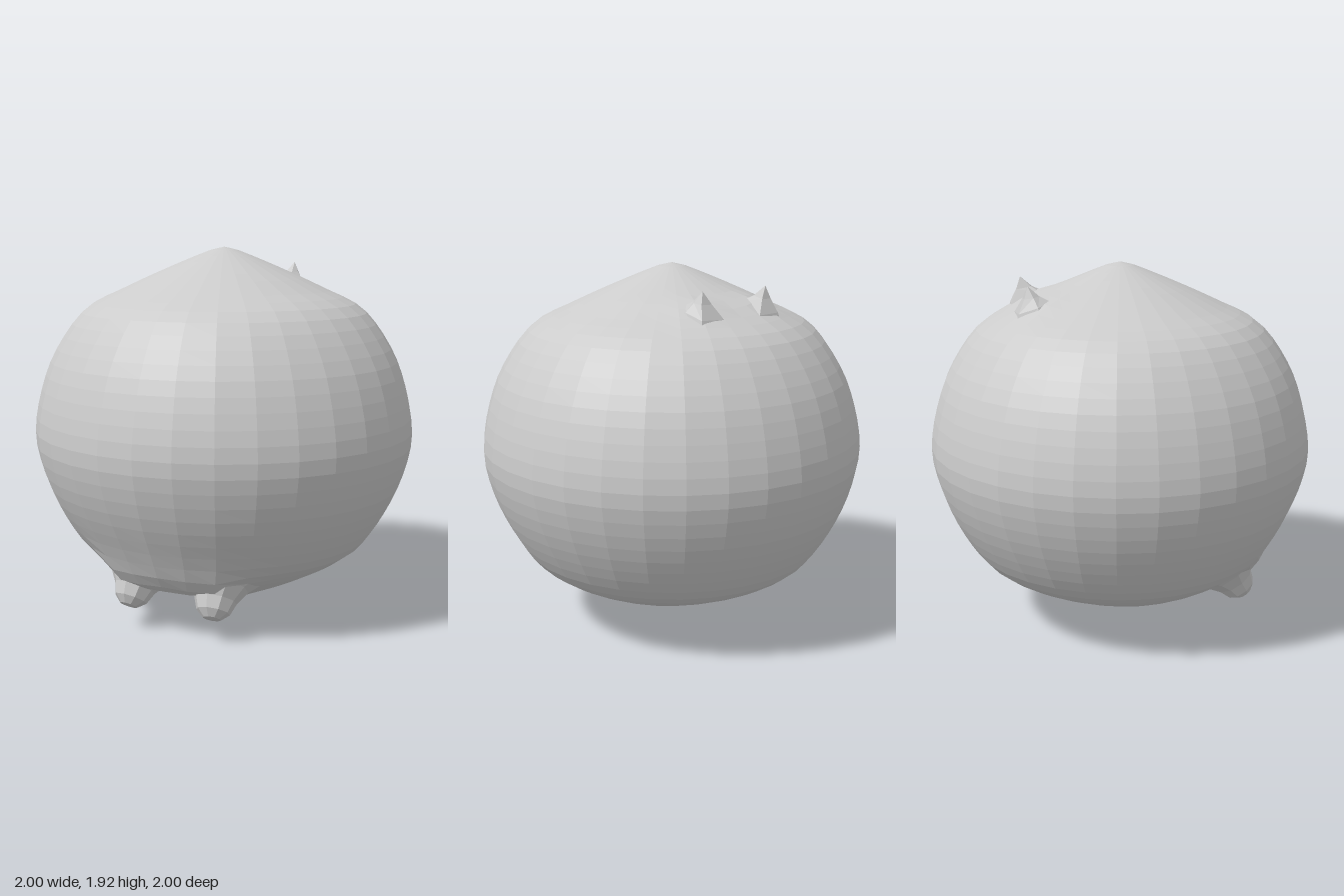
import * as THREE from 'three';

const grey = new THREE.MeshStandardMaterial({ color: 0xcccccc, flatShading: true, side: THREE.DoubleSide });

function addMesh(parent, name, geometry) {
  const mesh = new THREE.Mesh(geometry, grey);
  mesh.name = name;
  parent.add(mesh);
  return mesh;
}

const v2 = (list) => list.map(([x, y]) => new THREE.Vector2(x, y));

// Round body with a pointed crown and a pointed underside, swelling at feet and ears
function bodyGeometry() {
  const outline = new THREE.SplineCurve(v2([
    [0, 0], [0.24, 0.1], [0.47, 0.2], [0.66, 0.3], [0.78, 0.4], [0.9, 0.6],
    [0.975, 0.8], [1, 0.98], [0.96, 1.2], [0.88, 1.4], [0.73, 1.6],
    [0.52, 1.71], [0.3, 1.81], [0.08, 1.9], [0, 1.92],
  ]));
  const geo = new THREE.LatheGeometry(outline.getSpacedPoints(40), 32);
  const pos = geo.attributes.position;
  const p = new THREE.Vector3();
  // centre, push and reach of each soft swelling
  const swells = [
    [new THREE.Vector3(0, 0.3, 0.63), new THREE.Vector3(0, -0.03, 0.05), 0.16],
  ];
  for (const s of [-1, 1]) {
    swells.push([new THREE.Vector3(s * 0.23, 0.3, 0.63), new THREE.Vector3(0, -0.05, 0.04), 0.13]);
    swells.push([new THREE.Vector3(s * 0.2, 1.72, -0.45), new THREE.Vector3(0, 0.025, 0), 0.12]);
  }
  for (let i = 0; i < pos.count; i++) {
    p.fromBufferAttribute(pos, i);
    const start = p.clone();
    p.z += 0.08 * Math.max(0, 1 - start.y / 0.3); // underside point sits forward
    for (const [centre, push, reach] of swells) {
      p.addScaledVector(push, Math.exp(-start.distanceToSquared(centre) / (reach * reach)));
    }
    pos.setXYZ(i, p.x, Math.max(0, p.y), p.z);
  }
  geo.computeVertexNormals();
  return geo;
}

// Flared stub, blunt tip at the local origin, widening along +y
function footGeometry() {
  return new THREE.LatheGeometry(v2([
    [0, 0], [0.045, 0.005], [0.085, 0.04], [0.108, 0.1], [0.155, 0.17], [0.26, 0.27],
  ]), 9);
}

// Small five-sided point with its tip leaning back
function earGeometry(side) {
  const base = [[0.1, -0.57], [0.25, -0.56], [0.28, -0.45], [0.22, -0.37], [0.13, -0.38]];
  const verts = [], faces = [];
  const levels = [[1.25, 1.65], [0.85, 1.725], [0.4, 1.775]];
  for (const [size, y] of levels) {
    for (const [x, z] of base) {
      const bx = 0.2 + (x - 0.2) * size, bz = -0.49 + (z + 0.49) * size;
      // follow the slope of the crown
      verts.push(side * bx, y + (bz + 0.47) * 0.4 * size, bz);
    }
  }
  verts.push(side * 0.2, 1.83, -0.5);
  const tri = (a, b, c) => faces.push(...(side > 0 ? [a, c, b] : [a, b, c]));
  for (let i = 0; i < 5; i++) {
    const j = (i + 1) % 5;
    for (const r of [0, 5]) {
      tri(r + i, r + j, r + 5 + j);
      tri(r + i, r + 5 + j, r + 5 + i);
    }
    tri(10 + i, 10 + j, 15);
  }
  const geo = new THREE.BufferGeometry();
  geo.setAttribute('position', new THREE.Float32BufferAttribute(verts, 3));
  geo.setIndex(faces);
  geo.computeVertexNormals();
  return geo;
}

export function createModel() {
  const model = new THREE.Group();
  model.name = 'roundCreature';
  addMesh(model, 'body', bodyGeometry());

  // Paired feet at the lower front and ears at the upper back
  for (const side of [-1, 1]) {
    const label = side > 0 ? 'left' : 'right';
    const foot = addMesh(model, label + 'Foot', footGeometry());
    foot.position.set(side * 0.235, 0.125, 0.65);
    foot.quaternion.setFromUnitVectors(
      new THREE.Vector3(0, 1, 0),
      new THREE.Vector3(-side * 0.06, 0.8, -0.55).normalize(),
    );
    addMesh(model, label + 'Ear', earGeometry(side));
  }
  return model;
}
